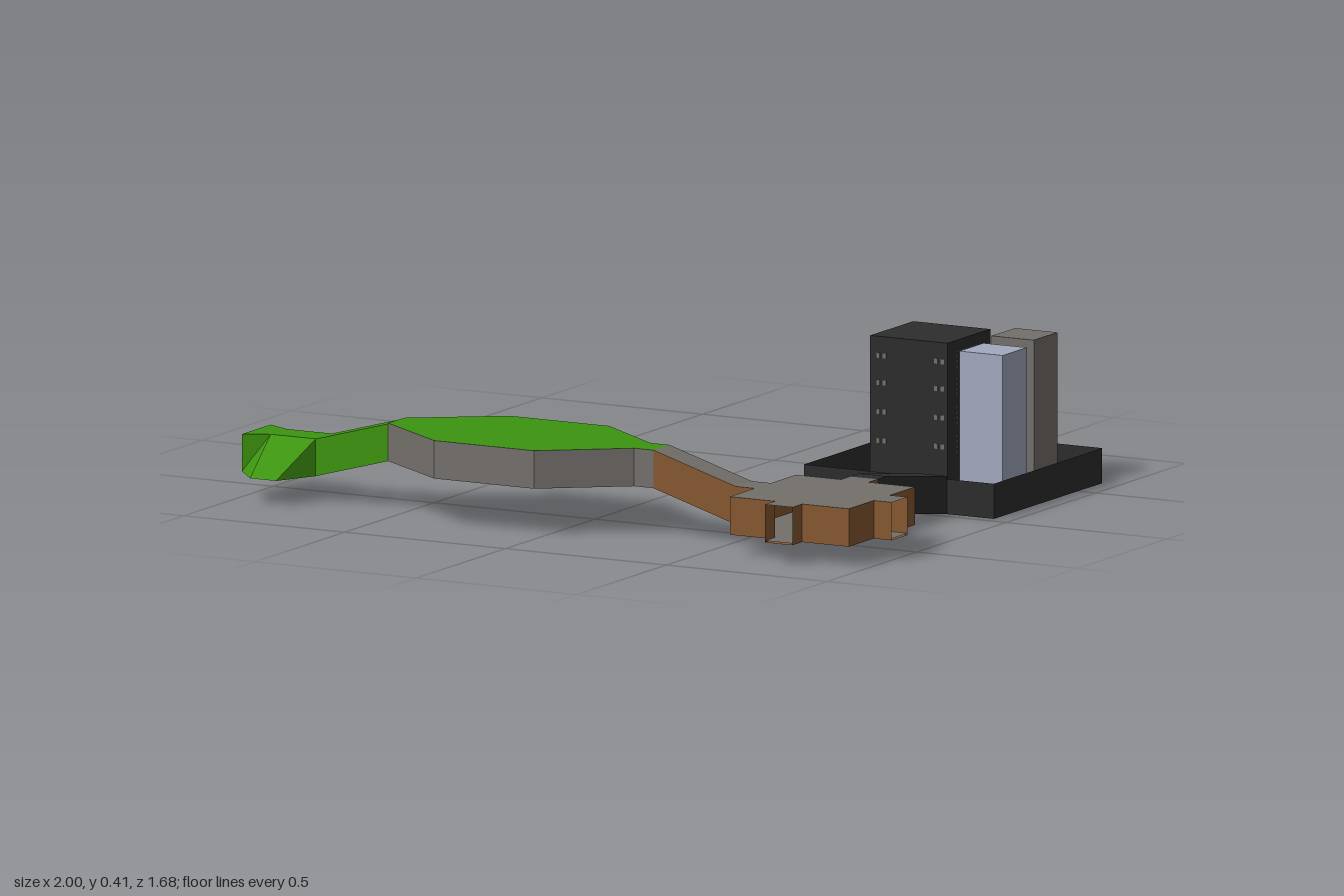
import * as THREE from 'three';
import { mergeGeometries } from 'three/addons/utils/BufferGeometryUtils.js';

const paint = (name, color) => {
  const m = new THREE.MeshStandardMaterial({ color, side: THREE.DoubleSide });
  m.name = name;
  return m;
};

export function createModel() {
  const model = new THREE.Group();
  const gray = paint('stone gray', 0x74706c);
  const dark = paint('charcoal', 0x2d2d2d);
  const brown = paint('earth brown', 0x875832);
  const green = paint('grass green', 0x3d9410);
  const pale = paint('pale blue gray', 0xa2aabe);

  function add(name, geometry, material, parent = model) {
    const mesh = new THREE.Mesh(geometry, material);
    mesh.name = name;
    parent.add(mesh);
    return mesh;
  }

  // Flat-shaded geometry from polygons, each fanned from its first corner
  function facets(polys) {
    const p = [];
    for (const f of polys)
      for (let i = 1; i < f.length - 1; i++) p.push(...f[0], ...f[i], ...f[i + 1]);
    const g = new THREE.BufferGeometry();
    g.setAttribute('position', new THREE.Float32BufferAttribute(p, 3));
    g.computeVertexNormals();
    return g;
  }

  // Hollow slab over an [x, z] outline; y may follow a slope, chosen edges stay open
  function slab(name, outline, y, height, { top, side, bottom, floor }, open = []) {
    const group = new THREE.Group();
    group.name = name;
    const base = typeof y === 'function' ? y : () => y;
    const at = ([x, z], h) => [x, base(x, z) + h, z];
    const tris = THREE.ShapeUtils.triangulateShape(outline.map(([x, z]) => new THREE.Vector2(x, -z)), []);
    const cap = (h) => tris.map((t) => t.map((i) => at(outline[i], h)));
    const walls = [];
    outline.forEach((a, i) => {
      const b = outline[(i + 1) % outline.length];
      if (!open.includes(i)) walls.push([at(a, 0), at(b, 0), at(b, height), at(a, height)]);
    });
    add(name + 'Sides', facets(walls), side, group);
    if (top) add(name + 'Top', facets(cap(height)), top, group);
    if (floor) add(name + 'Floor', facets(cap(0.005)), floor, group);
    add(name + 'Underside', facets(cap(0).map((t) => t.reverse())), bottom, group);
    model.add(group);
  }
  // Edges: 0 front, 1 right, 2 back, 3 left
  const rect = (x0, x1, z0, z1) => [[x0, z1], [x1, z1], [x1, z0], [x0, z0]];
  const slope = (a, ya, b, yb) => (v) => ya + ((yb - ya) * (v - a)) / (b - a);

  // Cross-shaped plaza with open arm ends
  const plaza = [
    [0.575, 0.78], [0.715, 0.78], [0.715, 0.835], [0.8, 0.835], [0.8, 0.78],
    [0.945, 0.78], [0.945, 0.64], [1, 0.64], [1, 0.55], [0.945, 0.55],
    [0.945, 0.41], [0.8, 0.41], [0.8, 0.36], [0.715, 0.36], [0.715, 0.41],
    [0.575, 0.41], [0.575, 0.55], [0.515, 0.55], [0.515, 0.64], [0.575, 0.64],
  ];
  const earth = { top: gray, side: brown, bottom: brown, floor: gray };
  slab('plaza', plaza, 0.055, 0.105, earth, [2, 7, 12, 17]);

  // Ramp from the plaza up to the lawn
  slab('lawnRamp', rect(0.26, 0.515, 0.55, 0.64), slope(0.515, 0.055, 0.26, 0.132), 0.105, earth, [1, 3]);

  // Raised lawn
  const lawn = [
    [-0.565, 0.64], [-0.33, 0.805], [-0.02, 0.805], [0.2, 0.64], [0.26, 0.64],
    [0.26, 0.55], [0.2, 0.55], [-0.02, 0.385], [-0.33, 0.385], [-0.565, 0.55],
  ];
  slab('lawn', lawn, 0.132, 0.105, { top: green, side: gray, bottom: green }, [4, 9]);

  // Grass path down to the end mound
  const grass = { top: green, side: green, bottom: green };
  slab('grassPath', rect(-0.79, -0.565, 0.55, 0.64), slope(-0.565, 0.132, -0.79, 0.07), 0.103, grass, [1, 3]);

  // Mound: ridge with wings sloping to the ground outline, mirrored about its centre line
  const lo = 0.07, hi = 0.173, mid = 0.595;
  const wing = [
    [[-0.79, hi, 0.64], [-0.93, hi, 0.64], [-0.93, lo, 0.755], [-0.85, lo, 0.755]],
    [[-0.79, hi, 0.64], [-0.85, lo, 0.755], [-0.79, lo, 0.64]],
    [[-0.93, hi, 0.64], [-1, hi, 0.675], [-1, lo, 0.675], [-0.93, lo, 0.755]],
    [[-0.79, hi, mid], [-0.93, hi, mid], [-0.93, hi, 0.64], [-0.79, hi, 0.64]],
    [[-0.93, hi, mid], [-1, hi, mid], [-1, hi, 0.675], [-0.93, hi, 0.64]],
    [[-0.79, lo, mid], [-0.79, lo, 0.64], [-0.85, lo, 0.755], [-0.93, lo, 0.755], [-1, lo, 0.675], [-1, lo, mid]],
  ];
  // The underside comes last and already winds downward
  const mirrored = wing.map((f) => f.map(([x, y, z]) => [x, y, 2 * mid - z]).reverse());
  add('mound', facets([...wing, ...mirrored]), green);
  add('moundEnd', facets([[[-1, lo, 0.515], [-1, lo, 0.675], [-1, hi, 0.675], [-1, hi, 0.515]]]), brown);

  // Dark covered bridge down to the tower yard
  const coal = { top: dark, side: dark, bottom: dark };
  slab('bridgeLanding', rect(0.715, 0.8, 0.31, 0.36), 0.055, 0.105, coal, [0, 2]);
  const fall = slope(0.31, 0.055, -0.03, 0);
  slab('bridge', rect(0.715, 0.8, -0.03, 0.31), (x, z) => fall(z), 0.105, coal, [0, 2]);

  // Open-topped yard, with a gap where the bridge enters
  const yard = [[0.355, -0.03], [0.715, -0.03], [0.8, -0.03], [0.945, -0.03], [0.945, -0.635], [0.355, -0.635]];
  slab('yard', yard, 0, 0.097, { side: dark, bottom: dark }, [1]);

  // Towers
  function tower(name, x, z, size, material) {
    const mesh = add(name, new THREE.BoxGeometry(size, 0.405, size), material);
    mesh.position.set(x, 0.21, z);
  }
  tower('darkTower', 0.525, -0.43, 0.24, dark);
  tower('grayTower', 0.762, -0.53, 0.132, gray);
  tower('paleTower', 0.797, -0.292, 0.135, pale);

  // Tower windows: dotted panels, slats and small corner lights
  const panes = [];
  const pane = (w, h, d, x, y, z) => panes.push(new THREE.BoxGeometry(w, h, d).translate(x, y, z));
  for (const y of [0.36, 0.285, 0.205, 0.125]) {
    for (let r = 0; r < 4; r++)
      for (let c = 0; c < 8; c++)
        pane(0.004, 0.006, 0.006, 0.645, y + (r - 1.5) * 0.014, -0.365 - c * 0.015);
    for (const dy of [-0.012, 0.012]) pane(0.004, 0.012, 0.11, 0.405, y + dy, -0.42);
    for (const z of [-0.55, -0.31])
      for (const x of [0.44, 0.62])
        for (const dx of [-0.01, 0.01]) pane(0.01, 0.014, 0.004, x + dx, y, z);
  }
  add('towerWindows', mergeGeometries(panes), gray);

  // Hooked ground path behind the yard
  const path = [[0.39, -0.635], [0.49, -0.635], [0.49, -0.745], [0.775, -0.745], [0.775, -0.845], [0.39, -0.845]];
  slab('groundPath', path, 0.002, 0.006, { top: brown, side: brown, bottom: brown });

  return model;
}
